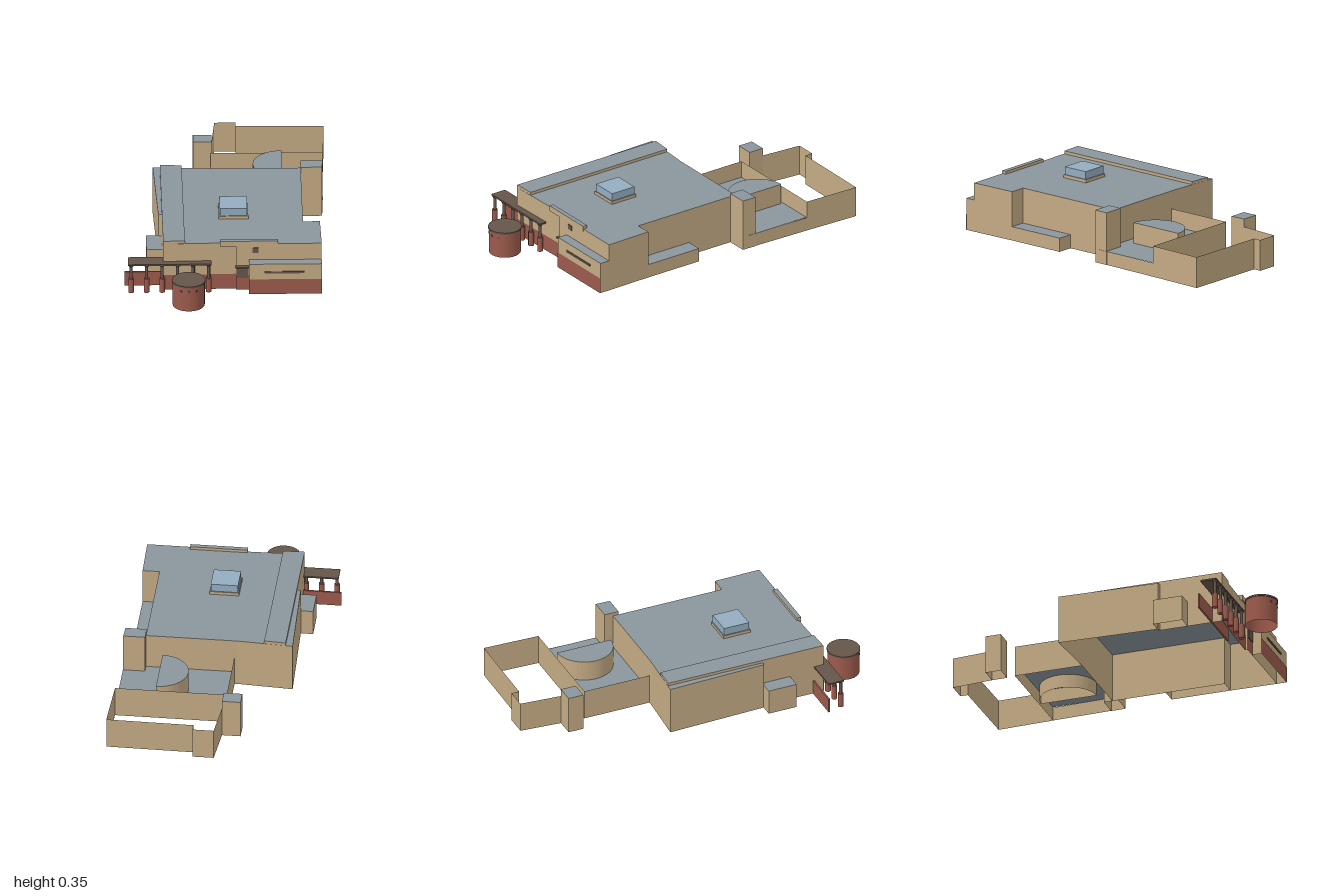
import * as THREE from 'three';

const mat = (name, color) => {
  const m = new THREE.MeshStandardMaterial({ color, side: THREE.DoubleSide });
  m.name = name;
  return m;
};

export function createModel() {
  const sand = mat('sand wall', 0xc3aa83);
  const grey = mat('grey roof', 0x8b959d);
  const red = mat('red brick', 0x9c5a4c);
  const brown = mat('dark brown', 0x65564a);
  const blue = mat('skylight glass', 0x93adc0);

  const model = new THREE.Group();
  model.name = 'building';

  const add = (name, geometry, material, parent = model) => {
    const mesh = new THREE.Mesh(geometry, material);
    mesh.name = name;
    parent.add(mesh);
    return mesh;
  };

  // Thin upright wall following [x, z] points
  const wall = (name, points, y0, y1, material = sand, parent = model) => {
    const pos = [];
    for (let i = 0; i < points.length - 1; i++) {
      const [ax, az] = points[i], [bx, bz] = points[i + 1];
      pos.push(ax, y0, az, bx, y0, bz, bx, y1, bz, ax, y0, az, bx, y1, bz, ax, y1, az);
    }
    const g = new THREE.BufferGeometry();
    g.setAttribute('position', new THREE.Float32BufferAttribute(pos, 3));
    g.computeVertexNormals();
    return add(name, g, material, parent);
  };

  // Flat plate over an [x, z] outline
  const plate = (name, points, y, material = grey, parent = model) => {
    const shape = new THREE.Shape(points.map(([x, z]) => new THREE.Vector2(x, -z)));
    const g = new THREE.ShapeGeometry(shape).rotateX(-Math.PI / 2).translate(0, y, 0);
    return add(name, g, material, parent);
  };

  // Open-bottomed block: walls and a flat roof. Points run counter-clockwise from above.
  const block = (name, points, y0, y1, side = sand, top = grey) => {
    const group = new THREE.Group();
    group.name = name;
    model.add(group);
    wall(name + 'Walls', [...points, points[0]], y0, y1, side, group);
    plate(name + 'Roof', points, y1, top, group);
  };

  const rect = (x0, x1, z0, z1) => [[x0, z1], [x1, z1], [x1, z0], [x0, z0]];

  const box = (name, x0, x1, y0, y1, z0, z1, material, parent) => {
    const g = new THREE.BoxGeometry(x1 - x0, y1 - y0, z1 - z0);
    g.translate((x0 + x1) / 2, (y0 + y1) / 2, (z0 + z1) / 2);
    return add(name, g, material, parent);
  };

  // Main hall and its attached blocks
  block('mainHall', [
    [-0.36, 0.72], [0.05, 0.71], [0.05, 0.725], [0.53, 0.725], [0.525, 0.45], [0.43, 0.45],
    [0.43, -0.22], [-0.09, -0.22], [-0.4, -0.24], [-0.38, 0.345], [-0.36, 0.35],
  ], 0, 0.285);
  block('frontWing', rect(0.122, 0.53, 0.725, 0.783), 0, 0.185);
  block('sideAnnex', rect(0.43, 0.525, 0.1, 0.45), 0, 0.08);
  block('westAnnex', rect(-0.45, -0.36, 0.343, 0.515), 0, 0.15);
  block('tower', [[0.43, -0.185], [0.55, -0.185], [0.553, -0.27], [0.43, -0.27]], 0, 0.305);

  // Raised roof parts
  block('westRoofRidge', [[-0.36, 0.72], [-0.238, 0.715], [-0.238, -0.228], [-0.36, -0.237]], 0.285, 0.302);
  block('frontParapet', rect(-0.04, 0.285, 0.7, 0.727), 0.27, 0.302);
  block('skylightCurb', rect(-0.042, 0.124, 0.248, 0.414), 0.285, 0.303);
  block('skylight', rect(-0.036, 0.118, 0.254, 0.408), 0.303, 0.348, blue, blue);

  // Back terrace with raised walls on two sides
  plate('terraceFloor', rect(-0.07, 0.555, -0.62, -0.22), 0.08);
  wall('terraceEastWall', [[0.55, -0.27], [0.56, -0.62]], 0, 0.08);
  wall('terraceWalls', [[0.56, -0.62], [-0.07, -0.62], [-0.07, -0.22]], 0, 0.18);

  // Half-round volume on the terrace
  const arc = [];
  for (let i = 0; i <= 24; i++) {
    const a = Math.PI / 2 + (Math.PI * i) / 24;
    arc.push([0.33 + 0.165 * Math.cos(a), -0.443 - 0.165 * Math.sin(a)]);
  }
  block('halfRoundRoom', arc, 0, 0.2);

  // Yard wall and gate pillar
  wall('yardWall', [
    [0.56, -0.62], [0.572, -0.95], [0.08, -0.955], [0.08, -1], [-0.04, -1], [-0.06, -0.76],
  ], 0, 0.18);
  block('gatePillar', rect(-0.165, -0.06, -0.76, -0.67), 0, 0.225);

  // Red base course on the front
  wall('redBaseLeft', [[-0.36, 0.723], [0.05, 0.713]], 0, 0.092, red);
  wall('redBaseDoor', [[0.05, 0.728], [0.122, 0.728]], 0, 0.092, red);
  wall('redBaseWing', [[0.122, 0.786], [0.53, 0.786]], 0, 0.092, red);

  // Door and windows
  box('door', 0.055, 0.12, 0.075, 0.143, 0.725, 0.732, brown);
  box('doorCanopy', 0.047, 0.122, 0.14, 0.148, 0.725, 0.745, brown);
  box('squareWindow', 0.142, 0.175, 0.23, 0.26, 0.724, 0.729, brown);
  box('slotWindow', 0.207, 0.432, 0.129, 0.14, 0.782, 0.788, brown);

  // Pergola with a low wall behind it
  const pergola = new THREE.Group();
  pergola.name = 'pergola';
  model.add(pergola);
  box('pergolaRoof', -0.557, -0.09, 0.167, 0.176, 0.663, 0.757, brown, pergola);
  box('lowWall', -0.575, -0.1, 0, 0.085, 0.655, 0.665, red, pergola);
  for (let i = 0; i < 6; i++) {
    const x = -0.54 + i * 0.087;
    const column = (name, top, bottom, y0, y1, material) => add(name,
      new THREE.CylinderGeometry(top, bottom, y1 - y0, 16).translate(x, (y0 + y1) / 2, 0.745), material, pergola);
    column('postBase', 0.016, 0.016, 0, 0.085, red);
    column('post', 0.009, 0.009, 0.085, 0.158, brown);
    column('postCap', 0.016, 0.009, 0.155, 0.167, brown);
  }

  // Round drum with lid and small windows
  const drum = new THREE.Group();
  drum.name = 'drum';
  drum.position.set(-0.22, 0, 0.906);
  model.add(drum);
  add('drumWall', new THREE.CylinderGeometry(0.09, 0.09, 0.146, 40, 1, true).translate(0, 0.073, 0), red, drum);
  add('drumLid', new THREE.CylinderGeometry(0.094, 0.094, 0.01, 40).translate(0, 0.15, 0), brown, drum);
  for (const a of [-0.54, 0, 0.54]) {
    const g = new THREE.BoxGeometry(0.013, 0.013, 0.006).translate(0, 0.12, 0.089).rotateY(a);
    add('drumWindow', g, brown, drum);
  }

  return model;
}
